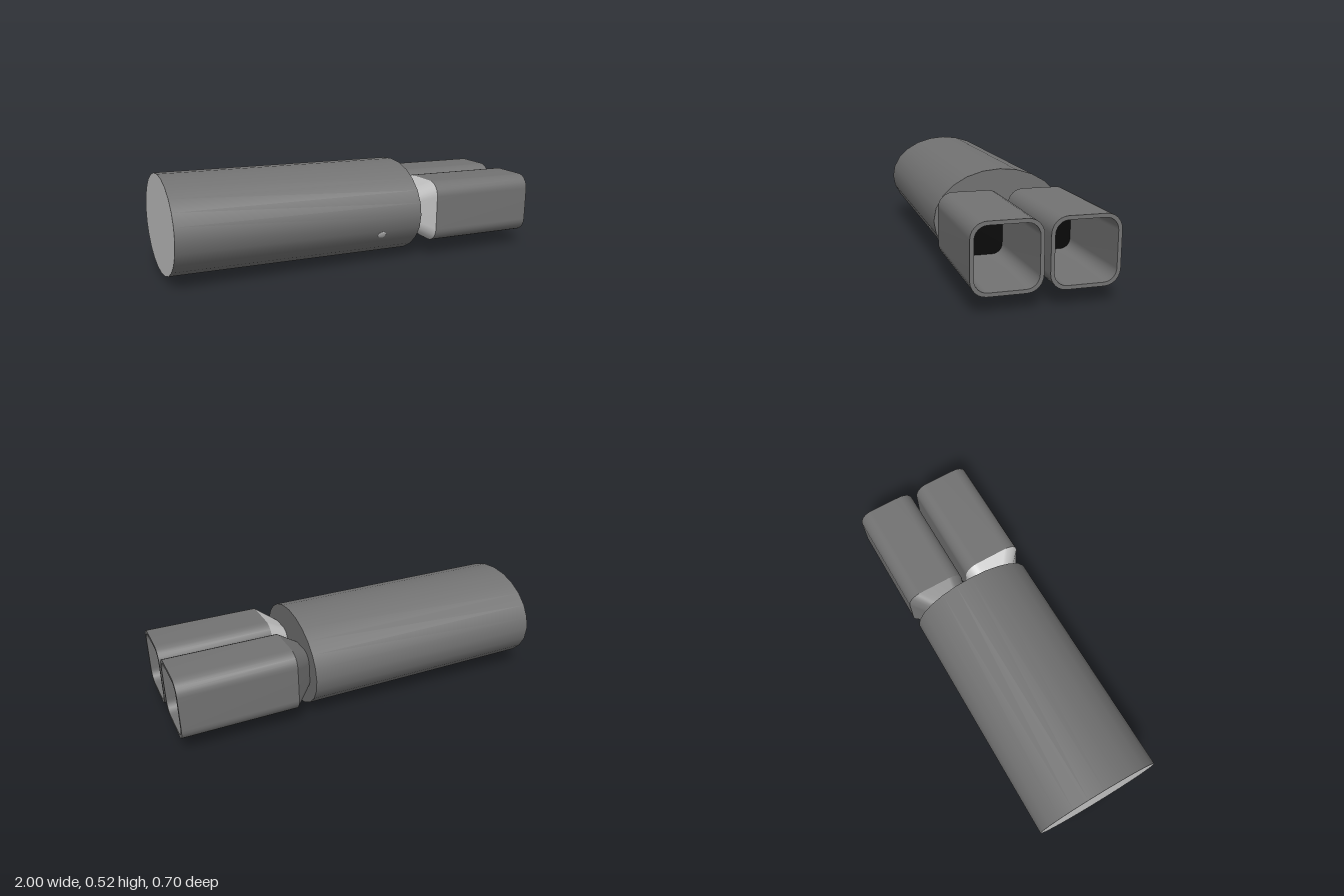
import * as THREE from 'three';

const grey = new THREE.MeshStandardMaterial({ name: 'grey', color: 0x727272 });
const paleGrey = new THREE.MeshStandardMaterial({ name: 'paleGrey', color: 0xc0c0c0 });
const black = new THREE.MeshStandardMaterial({ name: 'black', color: 0x050505 });

const CORNER = 6; // segments per rounded corner

// Rounded-square ring across the x axis: half size h, corner radius r, sideways shift
function ring([x, h, r, shift = 0]) {
  const pts = [];
  for (let q = 0; q < 4; q++) {
    const sy = q === 0 || q === 3 ? 1 : -1;
    const sz = q < 2 ? 1 : -1;
    for (let i = 0; i <= CORNER; i++) {
      const a = (q + i / CORNER) * Math.PI / 2;
      pts.push(x, sy * (h - r) + r * Math.cos(a), shift + sz * (h - r) + r * Math.sin(a));
    }
  }
  return pts;
}

// Smooth band joining two rings, with hard edges at both ends
function band(name, a, b, material) {
  const n = 4 * (CORNER + 1);
  const index = [];
  for (let i = 0; i < n; i++) {
    const j = (i + 1) % n;
    index.push(i, j, n + i, j, n + j, n + i);
  }
  const g = new THREE.BufferGeometry();
  g.setAttribute('position', new THREE.Float32BufferAttribute([...ring(a), ...ring(b)], 3));
  g.setIndex(index);
  g.computeVertexNormals();
  const mesh = new THREE.Mesh(g, material);
  mesh.name = name;
  return mesh;
}

// Square tube: tapered neck leaning to the middle, outer wall, rim, inside wall and dark floor
function makeTube(name, side, neckMaterial) {
  const tube = new THREE.Group();
  tube.name = name;
  tube.position.z = side * 0.1775;
  const neck = [0.29, 0.097, 0.06, side * -0.036];
  const shoulder = [0.4, 0.163, 0.075];
  const outer = [0.995, 0.163, 0.075];
  const opening = [0.995, 0.145, 0.06];
  const floor = [0.5, 0.133, 0.05];
  const centre = [0.5, 0.0002, 0.0001];
  tube.add(
    band('neck', neck, shoulder, neckMaterial),
    band('outerWall', shoulder, outer, grey),
    band('rim', outer, opening, grey),
    band('innerWall', opening, floor, grey),
    band('tubeFloor', floor, centre, black)
  );
  return tube;
}

export function createModel() {
  const model = new THREE.Group();
  model.name = 'twinTubeCylinder';

  // Everything shares one slightly tilted axis
  const assembly = new THREE.Group();
  assembly.name = 'tiltedAssembly';
  assembly.position.set(0, 0.259, 0.001);
  assembly.rotation.set(0, -0.007, -0.0155);
  model.add(assembly);

  // Oval main body: grey side and front face, pale rear face
  const bodyGeometry = new THREE.CylinderGeometry(1, 1, 1.3, 24);
  bodyGeometry.rotateZ(-Math.PI / 2);
  bodyGeometry.scale(1, 0.2515, 0.342);
  const body = new THREE.Mesh(bodyGeometry, [grey, grey, paleGrey]);
  body.name = 'body';
  body.position.set(-0.346, -0.002, -0.001);
  assembly.add(body);

  // Pair of square tubes; only the front neck is pale
  assembly.add(makeTube('frontTube', 1, paleGrey), makeTube('backTube', -1, grey));

  // Small flat pale stud on the front of the body
  const stud = new THREE.Mesh(new THREE.SphereGeometry(1, 12, 8), paleGrey);
  stud.name = 'stud';
  stud.scale.set(0.024, 0.02, 0.004);
  stud.position.set(0.083, -0.091, 0.317);
  stud.rotation.x = 0.48;
  assembly.add(stud);

  return model;
}
